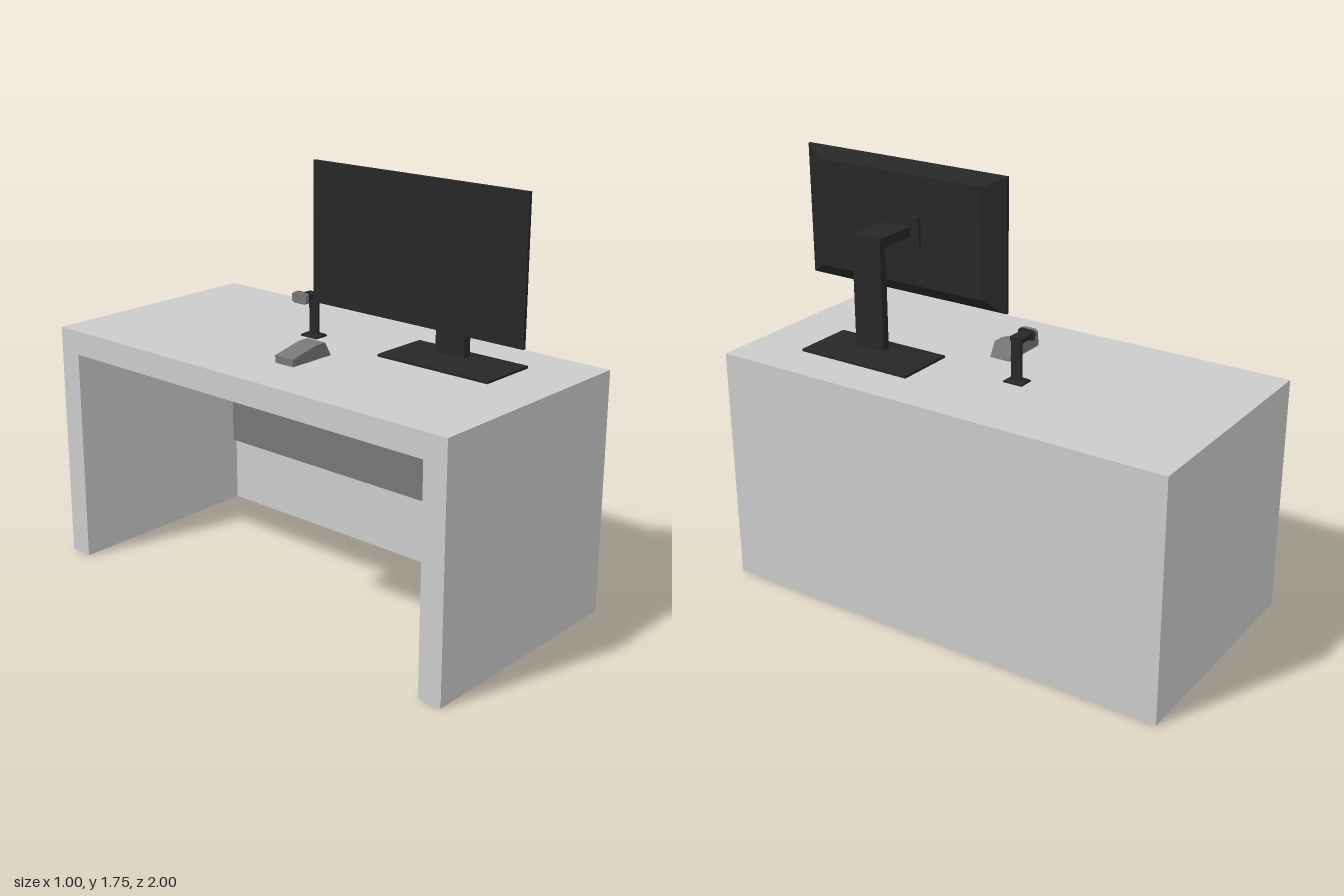
import * as THREE from 'three';
import { ConvexGeometry } from 'three/addons/geometries/ConvexGeometry.js';

const material = (color) => new THREE.MeshStandardMaterial({ color, flatShading: true });

export function createModel() {
  const model = new THREE.Group();
  const grey = material(0xcccccc);
  const midGrey = material(0x777777);
  const black = material(0x272727);

  function group(name) {
    const g = new THREE.Group();
    g.name = name;
    model.add(g);
    return g;
  }

  function add(parent, name, geometry, mat) {
    const mesh = new THREE.Mesh(geometry, mat);
    mesh.name = name;
    parent.add(mesh);
  }

  // Box given by its limits on each axis
  function box(parent, name, mat, [x0, x1], [y0, y1], [z0, z1]) {
    const geometry = new THREE.BoxGeometry(x1 - x0, y1 - y0, z1 - z0);
    geometry.translate((x0 + x1) / 2, (y0 + y1) / 2, (z0 + z1) / 2);
    add(parent, name, geometry, mat);
  }

  // Tapered solid wrapped around several rectangular slabs
  function tapered(parent, name, mat, slabs) {
    const points = [];
    for (const [xs, ys, zs] of slabs)
      for (const x of xs) for (const y of ys) for (const z of zs)
        points.push(new THREE.Vector3(x, y, z));
    add(parent, name, new ConvexGeometry(points), mat);
  }

  // Desk: open on the sitting side (-x)
  const desk = group('desk');
  box(desk, 'deskTop', grey, [-0.5, 0.5], [0.9, 1], [-1, 1]);
  box(desk, 'modestyPanel', grey, [0.4, 0.5], [0, 0.9], [-0.9, 0.9]);
  for (const [side, z] of [['front', 0.95], ['back', -0.95]])
    box(desk, side + 'SidePanel', grey, [-0.5, 0.5], [0, 0.9], [z - 0.05, z + 0.05]);
  box(desk, 'drawer', midGrey, [-0.5, 0.4], [0.75, 0.9], [0, 0.9]);

  // Monitor: screen faces -x, housing bevelled towards its back
  const monitor = group('monitor');
  tapered(monitor, 'screenHousing', black, [
    [[-0.063, -0.05], [1.2, 1.75], [0.01, 0.985]],
    [[-0.012], [1.25, 1.705], [0.1, 0.9]],
  ]);
  box(monitor, 'mountPlate', black, [-0.012, 0.002], [1.41, 1.54], [0.393, 0.608]);
  box(monitor, 'standArm', black, [0.002, 0.198], [1.456, 1.497], [0.433, 0.57]);
  box(monitor, 'standPost', black, [0.163, 0.198], [1.03, 1.456], [0.433, 0.57]);
  tapered(monitor, 'standBase', black, [
    [[0.05, 0.31], [1, 1.01], [0.24, 0.76]],
    [[0.163, 0.198], [1.034], [0.433, 0.57]],
  ]);

  // Webcam on its own small stand
  const webcam = group('webcam');
  tapered(webcam, 'webcamBase', black, [
    [[0.065, 0.13], [1, 1.006], [-0.177, -0.093]],
    [[0.075, 0.12], [1.013], [-0.167, -0.103]],
  ]);
  box(webcam, 'webcamPost', black, [0.095, 0.105], [1.012, 1.165], [-0.158, -0.112]);
  box(webcam, 'webcamArm', black, [0.034, 0.105], [1.165, 1.184], [-0.162, -0.108]);
  tapered(webcam, 'webcamBack', black, [
    [[0.028, 0.034], [1.16, 1.188], [-0.172, -0.098]],
    [[0.028, 0.034], [1.152, 1.196], [-0.162, -0.108]],
  ]);
  tapered(webcam, 'webcamFace', midGrey, [
    [[0.01, 0.028], [1.16, 1.188], [-0.172, -0.098]],
    [[0.01, 0.028], [1.152, 1.196], [-0.162, -0.108]],
  ]);

  // Wedge-shaped desk phone: side profile extruded along z
  const profile = new THREE.Shape(
    [[-0.272, 1], [-0.057, 1], [-0.09, 1.058], [-0.14, 1.058], [-0.272, 1.03]]
      .map(([x, y]) => new THREE.Vector2(x, y)));
  const wedge = new THREE.ExtrudeGeometry(profile, { depth: 0.092, bevelEnabled: false });
  wedge.translate(0, 0, 0.002);
  add(model, 'deskPhone', wedge, midGrey);

  return model;
}
